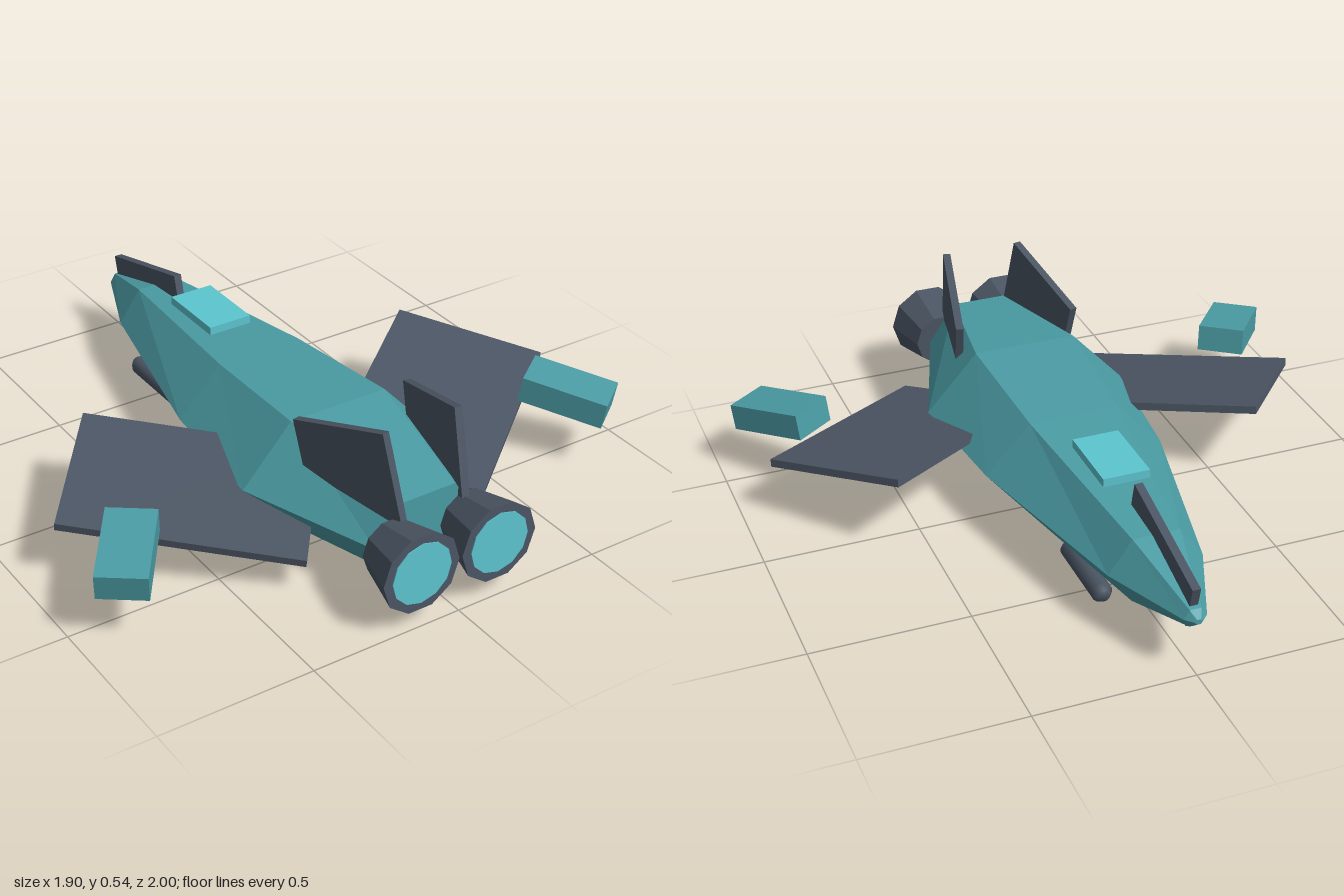
import * as THREE from 'three';

const mat = (name, color, flat = true) => {
  const m = new THREE.MeshStandardMaterial({ color, flatShading: flat });
  m.name = name;
  return m;
};

// Hexagonal hull lofted through stations [z, half width, half height]
function hullGeometry(stations, midY) {
  const pos = [], idx = [], n = 6;
  for (const [z, w, h] of stations) {
    for (const [x, y] of [[1, 0], [0.5, 1], [-0.5, 1], [-1, 0], [-0.5, -1], [0.5, -1]]) {
      pos.push(x * w, midY + y * h, z);
    }
  }
  const last = (stations.length - 1) * n;
  for (let s = 0; s < last; s += n) {
    for (let j = 0; j < n; j++) {
      const k = (j + 1) % n;
      idx.push(s + j, s + k, s + n + k, s + j, s + n + k, s + n + j);
    }
  }
  // End caps
  for (let j = 1; j < n - 1; j++) {
    idx.push(0, j + 1, j, last, last + j, last + j + 1);
  }
  const g = new THREE.BufferGeometry();
  g.setAttribute('position', new THREE.Float32BufferAttribute(pos, 3));
  g.setIndex(idx);
  const flat = g.toNonIndexed();
  flat.computeVertexNormals();
  return flat;
}

export function createModel() {
  const group = new THREE.Group();
  const teal = mat('hull teal', 0x4b9ca4);
  const slate = mat('dark slate', 0x4b5563);
  const slateSmooth = slate.clone();
  slateSmooth.flatShading = false;
  const cyan = mat('bright cyan', 0x5cc5cf);

  const add = (name, geometry, material, x, y, z, rx = 0, ry = 0, order = 'XYZ') => {
    const m = new THREE.Mesh(geometry, material);
    m.name = name;
    m.position.set(x, y, z);
    m.rotation.set(rx, ry, 0, order);
    group.add(m);
    return m;
  };
  const box = (w, h, d) => new THREE.BoxGeometry(w, h, d);
  // Cylinder lying along z, with a corner pointing sideways
  const tube = (rFront, rBack, len, sides) =>
    new THREE.CylinderGeometry(rFront, rBack, len, sides, 1, false, Math.PI / 2).rotateX(Math.PI / 2);

  // Fuselage, narrow nose at -z
  add('fuselage', hullGeometry([
    [-1, 0.012, 0.008],
    [-0.975, 0.036, 0.028],
    [-0.7, 0.15, 0.107],
    [-0.06, 0.295, 0.156],
    [0.38, 0.34, 0.185],
    [0.84, 0.182, 0.131],
  ], 0.19), teal, 0, 0, 0);

  // Canopy and nose fin
  add('canopy', box(0.15, 0.027, 0.245), cyan, 0, 0.357, -0.356);
  add('noseFin', box(0.026, 0.15, 0.427), slate, 0, 0.265, -0.753, -0.25);

  // Gun profile, lathed about its long axis and laid along z
  const gunShape = [[0, 0.135], [0.033, 0.135], [0.033, -0.115], [0.02, -0.135], [0, -0.135]]
    .reverse().map(([r, h]) => new THREE.Vector2(r, h));
  const gunGeometry = new THREE.LatheGeometry(gunShape, 14).rotateX(Math.PI / 2);

  for (const s of [1, -1]) {
    const side = s > 0 ? 'left' : 'right';

    // Wing slab turned on its corner and tilted nose-up
    add(side + 'Wing', box(0.736, 0.025, 0.49), slate, s * 0.46, 0.19, 0.283, 0.197, s * 0.664);

    // Pod behind the wing tip
    add(side + 'WingPod', box(0.154, 0.086, 0.277), teal, s * 0.802, 0.22, 0.505, 0.16, s * 0.63, 'YXZ');

    // Tail fin
    add(side + 'TailFin', box(0.025, 0.272, 0.365), slate, s * 0.155, 0.358, 0.66, -0.296, -s * 0.21, 'YXZ');

    // Engine nozzle with glowing end
    add(side + 'Nozzle', tube(0.132, 0.092, 0.157, 10), slate, s * 0.137, 0.19, 0.9185);
    add(side + 'EngineGlow', tube(0.102, 0.102, 0.006, 12), cyan, s * 0.137, 0.19, 0.997);

    // Gun under the nose
    add(side + 'Gun', gunGeometry, slateSmooth, s * 0.13, 0.066, -0.492);
  }
  return group;
}
